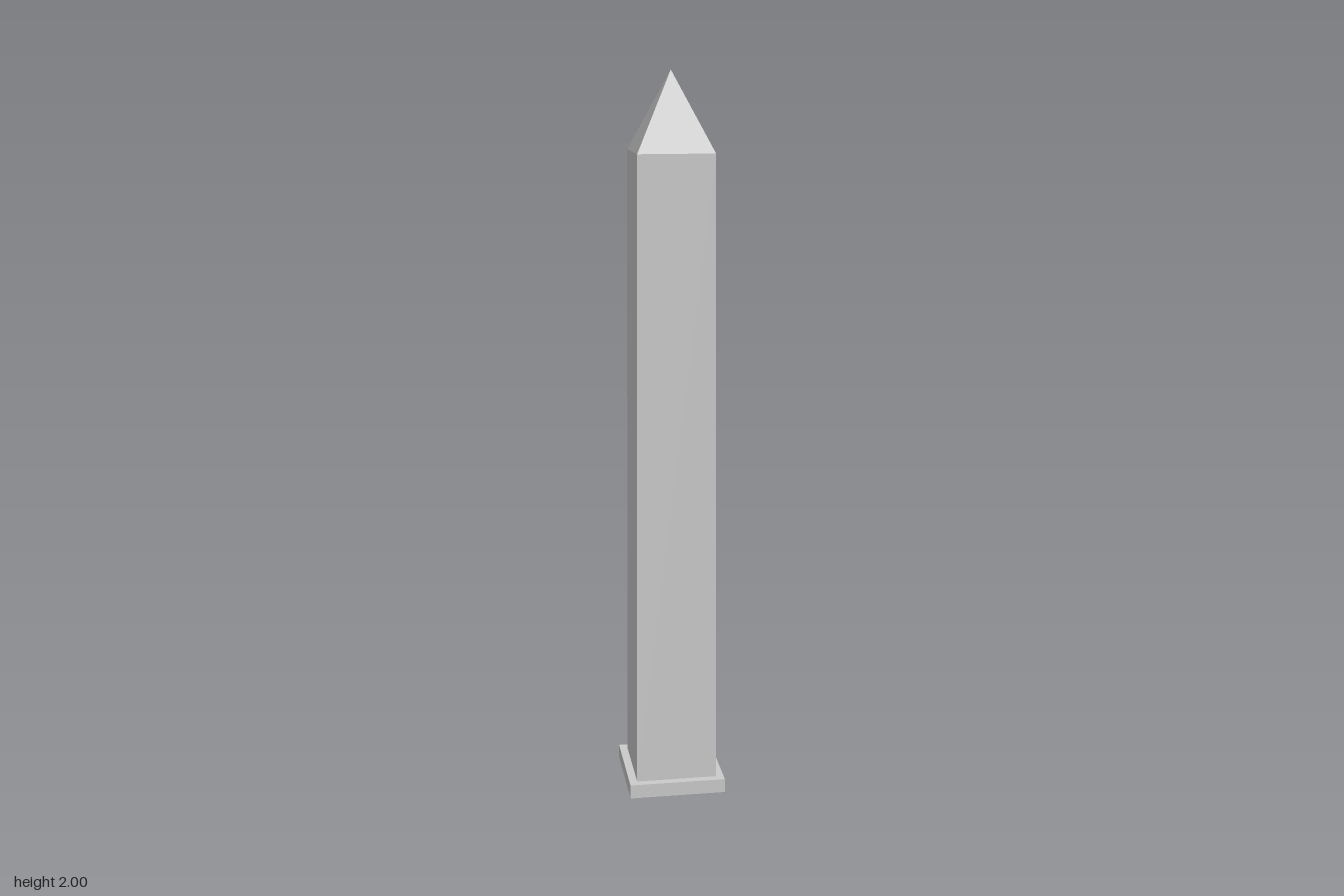
import * as THREE from 'three';

export function createModel() {
  const group = new THREE.Group();
  group.name = 'obelisk';
  const material = new THREE.MeshStandardMaterial({ color: 0xcccccc, flatShading: true });

  // Square tapered block between two heights, given its half widths
  function taperedBlock(name, bottomHalf, topHalf, y0, y1, openEnded = false) {
    const geometry = new THREE.CylinderGeometry(
      topHalf * Math.SQRT2, bottomHalf * Math.SQRT2, y1 - y0, 4, 1, openEnded);
    geometry.rotateY(Math.PI / 4);
    geometry.translate(0, (y0 + y1) / 2, 0);
    const mesh = new THREE.Mesh(geometry, material);
    mesh.name = name;
    group.add(mesh);
  }

  taperedBlock('basePlinth', 0.135, 0.135, 0, 0.04);
  taperedBlock('shaft', 0.113, 0.103, 0.04, 1.79, true);
  taperedBlock('pyramidCap', 0.103, 0, 1.79, 2, true);

  return group;
}
